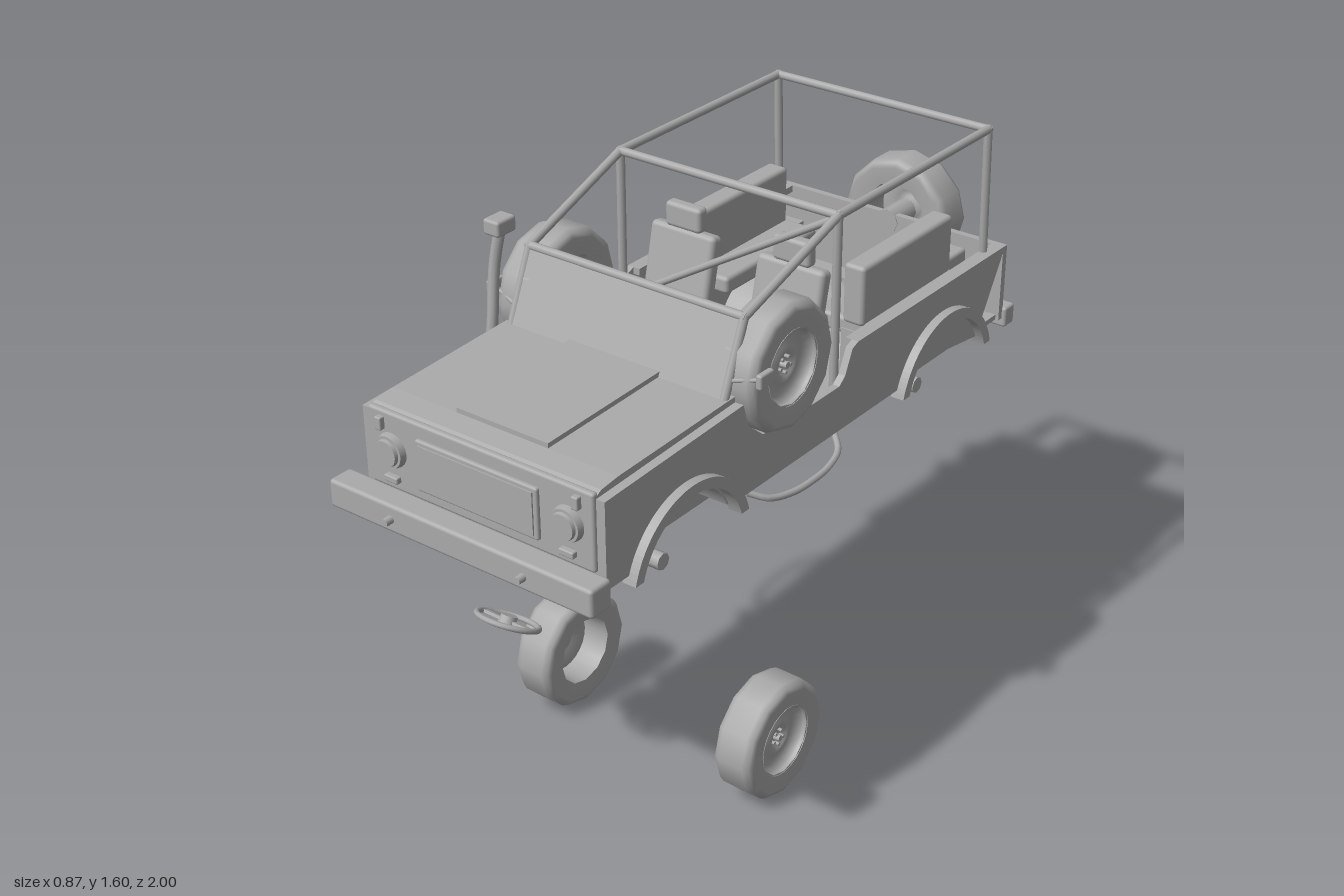
import * as THREE from 'three';
import { RoundedBoxGeometry } from 'three/addons/geometries/RoundedBoxGeometry.js';

export function createModel() {
  const root = new THREE.Group();
  root.name = 'offRoadVehicle';
  const grey = new THREE.MeshStandardMaterial({ color: 0xaaaaaa, side: THREE.DoubleSide });
  grey.name = 'plain grey';

  const add = (name, geometry, parent = root) => {
    const mesh = new THREE.Mesh(geometry, grey);
    mesh.name = name;
    parent.add(mesh);
    return mesh;
  };
  // Box given by its limits on each axis, with optional rounding
  const box = (name, x0, x1, y0, y1, z0, z1, r = 0) => {
    const size = [x1 - x0, y1 - y0, z1 - z0];
    const g = r ? new RoundedBoxGeometry(...size, 2, r) : new THREE.BoxGeometry(...size);
    const m = add(name, g);
    m.position.set((x0 + x1) / 2, (y0 + y1) / 2, (z0 + z1) / 2);
    return m;
  };
  // Side profile in (z, y), extruded from x0 to x1
  const slab = (name, shape, x0, x1) => {
    const g = new THREE.ExtrudeGeometry(shape, { depth: x1 - x0, bevelEnabled: false, curveSegments: 20 });
    g.rotateY(-Math.PI / 2);
    g.translate(x1, 0, 0);
    return add(name, g);
  };
  const poly = (pts) => new THREE.Shape(pts.map((p) => new THREE.Vector2(p[0], p[1])));
  const vec = (p) => new THREE.Vector3(...p);
  const bar = (name, a, b, r = 0.012) => {
    const d = vec(b).sub(vec(a));
    const m = add(name, new THREE.CylinderGeometry(r, r, d.length() + r, 8));
    m.position.copy(vec(a).add(vec(b)).multiplyScalar(0.5));
    m.quaternion.setFromUnitVectors(new THREE.Vector3(0, 1, 0), d.normalize());
    return m;
  };
  const tube = (name, pts, r) =>
    add(name, new THREE.TubeGeometry(new THREE.CatmullRomCurve3(pts.map(vec)), 24, r, 8));
  const disc = (name, x, y, z, r, depth) => {
    const m = add(name, new THREE.CylinderGeometry(r * 0.9, r, depth, 20));
    m.rotation.x = Math.PI / 2;
    m.position.set(x, y, z);
  };

  // Body sides with wheel arches and door cut-out
  const archZ = [-0.54, 0.587], archY = 0.923, archR = 0.2;
  const a0 = Math.asin((1 - archY) / archR);
  const side = new THREE.Shape();
  side.moveTo(-0.855, 1);
  archZ.forEach((z) => side.absarc(z, archY, archR, Math.PI - a0, a0, true));
  [[0.88, 1], [0.88, 1.235], [0.36, 1.255], [0.34, 1.19], [0.28, 1.14], [0.22, 1.13],
    [-0.05, 1.13], [-0.075, 1.15], [-0.105, 1.215], [-0.13, 1.225], [-0.855, 1.225]]
    .forEach((p) => side.lineTo(...p));
  const archRing = (z, r0, r1, y) => {
    const s = new THREE.Shape();
    const o = Math.asin((y - archY) / r1), i = Math.asin((y - archY) / r0);
    s.absarc(z, archY, r1, o, Math.PI - o, false);
    s.absarc(z, archY, r0, Math.PI - i, i, true);
    return s;
  };
  for (const s of [-1, 1]) {
    slab('bodySide', side, s * 0.365 - 0.01, s * 0.365 + 0.01);
    box('tubRail', s * 0.355 - 0.02, s * 0.355 + 0.02, 1.205, 1.225, -0.855, -0.13);
    for (const z of archZ) slab('wheelArchFlare', archRing(z, 0.198, 0.227, 0.98), s * 0.38 - 0.02, s * 0.38 + 0.02);
  }
  for (const z of archZ) slab('wheelTunnel', archRing(z, 0.192, 0.2, 1), -0.365, 0.365);

  // Floor, end walls, firewall and bonnet
  box('floor', -0.365, 0.365, 1, 1.015, -0.355, 0.4);
  box('rearFloor', -0.365, 0.365, 1, 1.015, -0.855, -0.725);
  box('rearWall', -0.375, 0.375, 1, 1.225, -0.865, -0.845);
  box('frontWall', -0.375, 0.375, 1, 1.235, 0.86, 0.88);
  box('nosePanel', -0.35, 0.35, 1.04, 1.25, 0.87, 0.89, 0.008);
  box('firewall', -0.365, 0.365, 1, 1.25, 0.345, 0.36);
  slab('bonnetSkirt', poly([[0.87, 1.21], [0.87, 1.235], [0.36, 1.255], [0.36, 1.22]]), -0.375, 0.375);
  slab('bonnet', poly([[0.88, 1.22], [0.88, 1.24], [0.86, 1.25], [0.8, 1.257], [0.36, 1.27], [0.36, 1.24]]), -0.35, 0.35);
  slab('bonnetPanel', poly([[0.8, 1.25], [0.8, 1.27], [0.36, 1.283], [0.36, 1.26]]), -0.142, 0.142);

  // Nose details
  box('grille', -0.19, 0.19, 1.072, 1.212, 0.88, 0.9, 0.006);
  box('grilleInset', -0.178, 0.178, 1.084, 1.2, 0.895, 0.904);
  for (const s of [-1, 1]) {
    disc('headlightRing', s * 0.275, 1.15, 0.895, 0.048, 0.025);
    disc('headlight', s * 0.275, 1.15, 0.907, 0.038, 0.02);
    box('indicator', s * 0.275 - 0.022, s * 0.275 + 0.022, 1.065, 1.083, 0.88, 0.905, 0.004);
    box('bonnetLatch', s * 0.305 - 0.01, s * 0.305 + 0.01, 1.2, 1.235, 0.88, 0.905, 0.004);
    disc('towPin', s * 0.208, 1.023, 0.985, 0.011, 0.03);
    box('tailLight', s * 0.31 - 0.02, s * 0.31 + 0.02, 1.08, 1.16, -0.875, -0.86, 0.004);
  }
  box('frontBumper', -0.412, 0.412, 0.985, 1.062, 0.905, 0.978, 0.01);
  box('rearBumper', -0.387, 0.387, 0.973, 1.033, -0.912, -0.862, 0.008);

  // Chassis with open rear frame
  box('chassisPlate', -0.228, 0.228, 0.917, 0.98, -0.45, 0.85);
  box('rearPlate', -0.228, 0.228, 0.965, 0.98, -0.8, -0.45);
  box('rearCrossMember', -0.228, 0.228, 0.917, 0.98, -0.8, -0.77);
  for (const s of [-1, 1]) {
    box('rearRail', s * 0.213 - 0.015, s * 0.213 + 0.015, 0.917, 0.98, -0.8, -0.45);
    tube('sideStep', [[0.35, 0.98, 0.31], [0.39, 0.96, 0.27], [0.41, 0.95, 0.2], [0.415, 0.948, 0.12],
      [0.41, 0.95, 0.04], [0.39, 0.96, -0.03], [0.35, 0.98, -0.07]].map((p) => [s * p[0], p[1], p[2]]), 0.009);
  }
  for (const z of archZ) {
    bar('axle', [-0.295, 0.903, z], [0.295, 0.903, z], 0.023);
    bar('differential', [-0.03, 0.907, z], [0.03, 0.907, z], 0.062);
  }
  tube('exhaust', [[-0.255, 0.95, -0.4], [-0.255, 0.945, -0.7], [-0.255, 0.93, -0.8], [-0.26, 0.935, -0.86], [-0.27, 0.945, -0.905]], 0.011);

  // Windscreen panel and frame
  slab('windscreen', poly([[0.4, 1.25], [0.312, 1.455], [0.298, 1.452], [0.38, 1.25]]), -0.335, 0.335);
  bar('windscreenTop', [-0.335, 1.455, 0.305], [0.335, 1.455, 0.305]);

  // Roll cage
  for (const s of [-1, 1]) {
    const p = [[0.335, 1.25, 0.39], [0.335, 1.455, 0.305], [0.343, 1.585, -0.07], [0.343, 1.585, -0.775], [0.343, 1.2, -0.79]]
      .map((q) => [s * q[0], q[1], q[2]]);
    for (let i = 0; i < 4; i++) bar('cageRail', p[i], p[i + 1]);
    bar('cagePost', p[2], [s * 0.343, 1.02, -0.07]);
  }
  for (const z of [-0.07, -0.775]) bar('cageCrossbar', [-0.343, 1.585, z], [0.343, 1.585, z]);
  bar('cageDiagonal', [0.335, 1.575, -0.07], [-0.335, 1.17, -0.07], 0.01);

  // Cabin: dash, seats, benches and loose controls
  box('dashboard', -0.3, 0.3, 1.13, 1.24, 0.205, 0.35, 0.01);
  bar('steeringColumn', [-0.175, 1.17, 0.27], [-0.175, 1.2, 0.2], 0.011);
  bar('gearLever', [0, 1.01, 0.15], [0, 1.13, 0.117], 0.006);
  add('gearKnob', new THREE.SphereGeometry(0.013, 12, 8)).position.set(0, 1.135, 0.117);
  for (const s of [-1, 1]) {
    const x = s * 0.173;
    box('seatBase', x - 0.09, x + 0.09, 1.01, 1.07, -0.06, 0.12);
    box('seatCushion', x - 0.108, x + 0.108, 1.06, 1.13, -0.07, 0.145, 0.015);
    const back = box('seatBack', x - 0.105, x + 0.105, 1.12, 1.395, -0.125, -0.08, 0.015);
    back.rotation.x = -0.22;
    box('headrest', x - 0.058, x + 0.058, 1.39, 1.46, -0.148, -0.11, 0.012);
    const sides = (a, b) => (s > 0 ? [a, b] : [-b, -a]);
    box('benchBase', ...sides(0.235, 0.365), 1.01, 1.17, -0.76, -0.26);
    box('benchCushion', ...sides(0.14, 0.31), 1.15, 1.2, -0.69, -0.265, 0.012);
    box('benchBack', ...sides(0.24, 0.305), 1.19, 1.36, -0.685, -0.255, 0.012);
  }
  box('storageBox', 0.215, 0.28, 1.01, 1.21, -0.81, -0.67, 0.01);

  // Snorkel and mirrors
  tube('snorkel', [[-0.37, 1.16, 0.4], [-0.395, 1.2, 0.395], [-0.4, 1.28, 0.383], [-0.405, 1.4, 0.363], [-0.39, 1.51, 0.35]], 0.015);
  box('snorkelHead', -0.412, -0.36, 1.495, 1.538, 0.322, 0.392, 0.008);
  for (const s of [-1, 1]) {
    bar('mirrorArm', [s * 0.335, 1.31, 0.365], [s * 0.42, 1.33, 0.345], 0.006);
    box('mirror', s * 0.424 - 0.009, s * 0.424 + 0.009, 1.313, 1.353, 0.315, 0.37, 0.006);
  }

  // Wheels: faceted tyre with a dished rim, outer face along local +y
  const lathe = (pts, n) => new THREE.LatheGeometry(pts.map((p) => new THREE.Vector2(p[0], p[1])), n);
  const wheel = (name, x, y, z) => {
    const g = new THREE.Group();
    g.name = name;
    add('tyre', lathe([[0.1, -0.055], [0.15, -0.061], [0.164, -0.055], [0.172, -0.038], [0.172, 0.038],
      [0.164, 0.055], [0.15, 0.061], [0.1, 0.055]], 12), g);
    add('rimBarrel', lathe([[0.102, -0.055], [0.097, -0.02], [0.097, 0.03], [0.102, 0.057]], 24), g);
    add('rimDish', lathe([[0.097, 0.045], [0.088, 0.02], [0.05, 0.032], [0.032, 0.034], [0.028, 0.022], [0, 0.022]], 24), g);
    add('hub', new THREE.CylinderGeometry(0.009, 0.011, 0.02, 10), g).position.y = 0.03;
    for (let i = 0; i < 5; i++) {
      const t = (i / 5) * Math.PI * 2;
      add('wheelNut', new THREE.CylinderGeometry(0.005, 0.005, 0.014, 6), g)
        .position.set(0.021 * Math.cos(t), 0.029, 0.021 * Math.sin(t));
    }
    g.position.set(x, y, z);
    root.add(g);
    return g;
  };
  for (const s of [-1, 1]) {
    wheel('groundWheel', s * 0.346, 0.175, 0.195).rotation.z = -s * Math.PI / 2;
    wheel('sideWheel', s * 0.346, 1.296, 0.195).rotation.z = -s * Math.PI / 2;
  }
  wheel('spareWheel', -0.005, 1.202, -0.938).rotation.x = -Math.PI / 2;
  bar('spareMount', [-0.005, 1.202, -0.86], [-0.005, 1.202, -0.925], 0.035);

  // Steering wheel
  const steer = new THREE.Group();
  steer.name = 'steeringWheel';
  add('steeringRim', new THREE.TorusGeometry(0.084, 0.008, 8, 28).rotateX(Math.PI / 2), steer);
  add('steeringHub', new THREE.CylinderGeometry(0.022, 0.026, 0.03, 14), steer);
  add('steeringSpoke', new THREE.BoxGeometry(0.165, 0.008, 0.018), steer);
  steer.position.set(-0.178, 0.555, 0.625);
  steer.rotation.x = -0.5;
  root.add(steer);

  return root;
}
